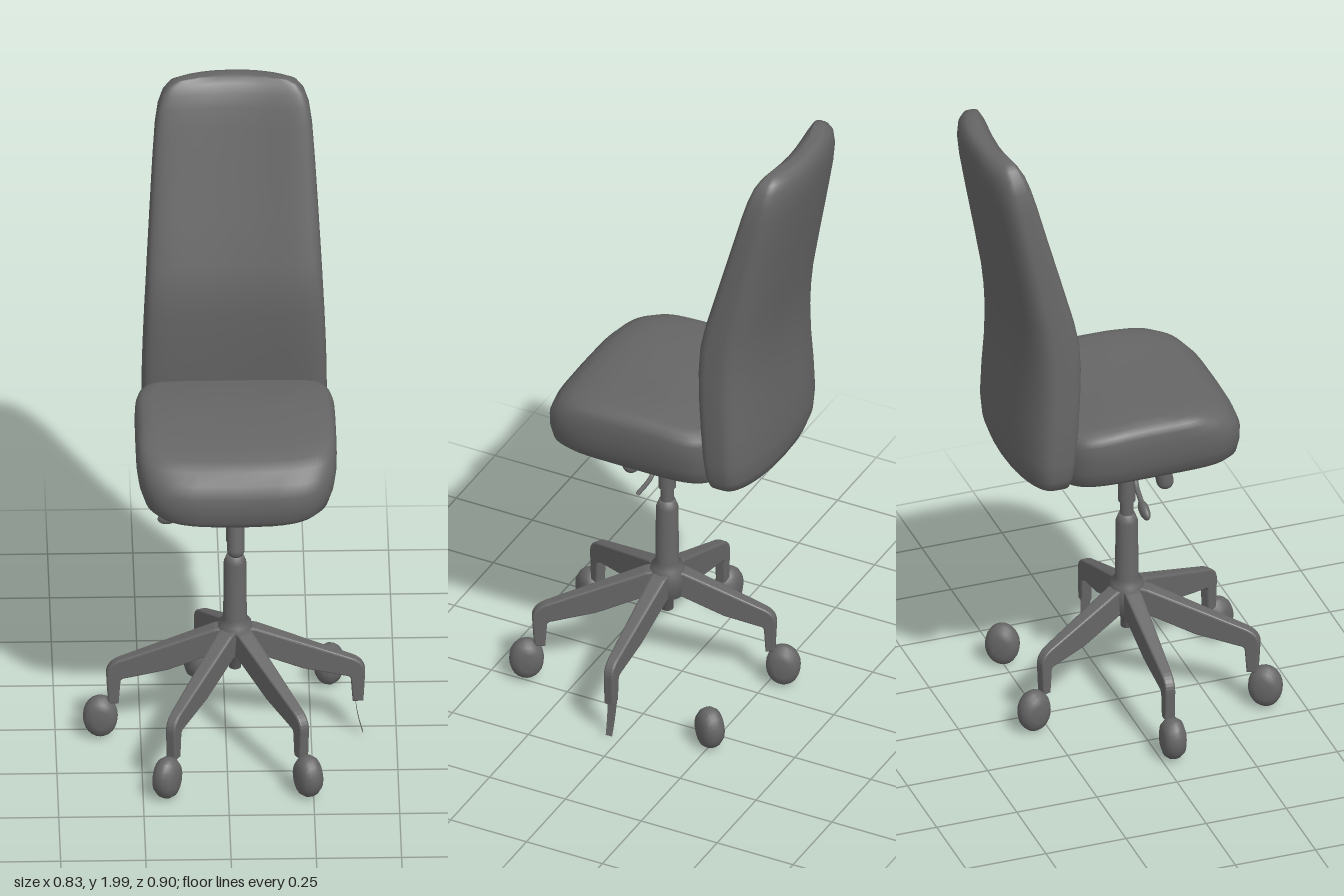
import * as THREE from 'three';

const CX = 0.027, CZ = 0.035; // axis of the column

// Stacks superellipse rings [y, halfWidth, zFront, zBack] from bottom to top, closed and smooth.
function loft(sections, power, cx, bend) {
  const N = 64, pos = [], idx = [];
  const put = (x, y, z, hw) => {
    const [bx, by, bz] = bend(x, y, z, x / hw);
    pos.push(cx + bx, by, bz);
  };
  const pw = v => Math.sign(v) * Math.pow(Math.abs(v), 2 / power);
  for (const [y, hw, zf, zb] of sections) {
    for (let i = 0; i < N; i++) {
      const t = (i / N) * Math.PI * 2;
      put(hw * pw(Math.cos(t)), y, (zf + zb) / 2 + ((zf - zb) / 2) * pw(Math.sin(t)), hw);
    }
  }
  for (let s = 0; s < sections.length - 1; s++) {
    for (let i = 0; i < N; i++) {
      const a = s * N + i, b = s * N + (i + 1) % N;
      idx.push(a, a + N, b, b, a + N, b + N);
    }
  }
  const last = sections.length - 1;
  for (const s of [0, last]) {
    const [y, hw, zf, zb] = sections[s];
    const c = pos.length / 3;
    put(0, y, (zf + zb) / 2, hw);
    for (let i = 0; i < N; i++) {
      const a = s * N + i, b = s * N + (i + 1) % N;
      if (s === 0) idx.push(c, a, b); else idx.push(c, b, a);
    }
  }
  const g = new THREE.BufferGeometry();
  g.setAttribute('position', new THREE.Float32BufferAttribute(pos, 3));
  g.setIndex(idx);
  g.computeVertexNormals();
  return g;
}

const tube = (pts, r) => new THREE.TubeGeometry(
  new THREE.CatmullRomCurve3(pts.map(p => new THREE.Vector3(...p))), 24, r, 10);

// Leg side profile extruded across its width, tapering outwards
function legGeometry() {
  const s = new THREE.Shape();
  s.moveTo(0, 0.385);
  s.lineTo(0.06, 0.375);
  s.lineTo(0.34, 0.265);
  s.quadraticCurveTo(0.373, 0.25, 0.372, 0.22);
  s.lineTo(0.367, 0.13);
  s.lineTo(0.347, 0.13);
  s.lineTo(0.342, 0.2);
  s.quadraticCurveTo(0.34, 0.215, 0.32, 0.217);
  s.lineTo(0.2, 0.245);
  s.lineTo(0.05, 0.305);
  s.lineTo(0, 0.305);
  const g = new THREE.ExtrudeGeometry(s, {
    depth: 0.024, bevelEnabled: true, bevelSize: 0.006, bevelThickness: 0.008, bevelSegments: 3, curveSegments: 6,
  });
  g.translate(0, 0, -0.012);
  const p = g.attributes.position;
  for (let i = 0; i < p.count; i++) p.setZ(i, p.getZ(i) * (1.35 - 1.5 * p.getX(i)));
  g.computeVertexNormals();
  return g;
}

// Rounded wheel turning about z
function wheelGeometry() {
  const pts = [[0, -0.036], [0.03, -0.035], [0.052, -0.028], [0.064, -0.013], [0.066, 0],
    [0.064, 0.013], [0.052, 0.028], [0.03, 0.035], [0, 0.036]].map(p => new THREE.Vector2(...p));
  const g = new THREE.LatheGeometry(pts, 24);
  g.rotateX(Math.PI / 2);
  g.scale(0.78, 1, 1);
  return g;
}

export function createModel() {
  const model = new THREE.Group();
  const grey = new THREE.MeshStandardMaterial({ color: 0x666666 });
  grey.name = 'charcoal grey';
  const thinGrey = grey;
  thinGrey.side = THREE.DoubleSide;
  const add = (name, geo, x = 0, y = 0, z = 0, parent = model) => {
    const m = new THREE.Mesh(geo, grey);
    m.name = name;
    m.position.set(x, y, z);
    parent.add(m);
    return m;
  };

  // Seat cushion: dished top, softly rolled front edge
  add('seat', loft([
    [0.868, 0.15, 0.22, -0.16], [0.87, 0.22, 0.285, -0.21], [0.88, 0.255, 0.312, -0.235],
    [0.9, 0.275, 0.325, -0.245], [0.94, 0.288, 0.331, -0.25], [0.98, 0.294, 0.33, -0.25],
    [1.02, 0.295, 0.315, -0.25], [1.05, 0.293, 0.287, -0.25], [1.068, 0.286, 0.25, -0.245],
    [1.08, 0.272, 0.2, -0.235], [1.086, 0.245, 0.14, -0.215], [1.088, 0.16, 0.06, -0.14],
  ], 5, 0.029, (x, y, z, u) => {
    const back = Math.max(0, -z - 0.05);
    const lift = y > 1 ? 0.006 * u * u - back * 0.1 : 0.012 * u * u;
    return [x, y + lift, z - 0.012 * u * u * (z > 0 ? 1 : 0)];
  }));

  // Tall backrest, leaning backwards above the lumbar bulge
  add('backrest', loft([
    [0.88, 0.17, -0.262, -0.315], [0.885, 0.215, -0.248, -0.335], [0.905, 0.25, -0.235, -0.355],
    [0.94, 0.266, -0.226, -0.367], [1.0, 0.272, -0.217, -0.372], [1.1, 0.271, -0.208, -0.368],
    [1.2, 0.268, -0.201, -0.361], [1.3, 0.264, -0.197, -0.36], [1.38, 0.26, -0.2, -0.365],
    [1.46, 0.256, -0.217, -0.374], [1.6, 0.248, -0.256, -0.399], [1.75, 0.239, -0.298, -0.427],
    [1.86, 0.231, -0.328, -0.447], [1.92, 0.222, -0.346, -0.455], [1.96, 0.208, -0.362, -0.455],
    [1.985, 0.188, -0.379, -0.449], [1.997, 0.162, -0.394, -0.438], [2.0, 0.13, -0.405, -0.426],
  ], 3.8, 0.031, (x, y, z, u) => [x, y, z + 0.03 * u * u]));

  // Mechanism under the seat
  add('seatPlate', new THREE.CylinderGeometry(0.13, 0.07, 0.035, 32), CX, 0.858, CZ + 0.02);
  const handle = add('tiltHandle', new THREE.CapsuleGeometry(0.026, 0.11, 6, 16), CX, 0.765, 0.143);
  handle.rotation.x = -0.2;
  add('handleArm', tube([[CX, 0.85, 0.04], [CX, 0.832, 0.08], [CX, 0.82, 0.125]], 0.014));
  add('rightLever', tube([[-0.055, 0.86, 0.03], [-0.058, 0.81, 0.03], [-0.085, 0.78, 0.025], [-0.14, 0.76, 0.02]], 0.008));
  const paddle = add('rightLeverPaddle', new THREE.SphereGeometry(1, 20, 12), -0.163, 0.745, 0.02);
  paddle.scale.set(0.038, 0.022, 0.015);
  paddle.rotation.z = 0.3;
  add('leftLever', tube([[0.11, 0.86, 0.03], [0.112, 0.8, 0.03], [0.14, 0.772, 0.03], [0.225, 0.765, 0.03]], 0.007));

  // Gas column and hub
  add('columnHousing', new THREE.CylinderGeometry(0.026, 0.026, 0.18, 24), CX, 0.76, CZ);
  add('columnRod', new THREE.CylinderGeometry(0.02, 0.02, 0.14, 24), CX, 0.65, CZ);
  const sleeve = [[0, 0.24], [0.018, 0.24], [0.02, 0.29], [0.052, 0.3], [0.055, 0.36], [0.048, 0.395],
    [0.035, 0.41], [0.033, 0.6], [0.024, 0.625], [0, 0.625]];
  add('columnSleeve', new THREE.LatheGeometry(sleeve.map(p => new THREE.Vector2(...p)), 28), CX, 0, CZ);

  // Legs with casters; the left one has lost its wheel
  const legGeo = legGeometry(), wheelGeo = wheelGeometry();
  const legs = [['left', 0, 1.01], ['frontLeft', 60, 1.05], ['frontRight', 120, 1.05], ['right', 180, 1], ['back', 252, 0.86]];
  for (const [name, deg, reach] of legs) {
    const leg = new THREE.Group();
    leg.name = name + 'Leg';
    leg.position.set(CX, 0, CZ);
    leg.rotation.y = -THREE.MathUtils.degToRad(deg);
    model.add(leg);
    add('legArm', legGeo, 0, 0, 0, leg).scale.x = reach;
    if (name !== 'left') add('wheel', wheelGeo, 0.357 * reach + 0.038, 0.077, 0, leg);
  }
  const loose = add('looseWheel', wheelGeo, 0.31, 0.075, -0.25);
  loose.rotation.y = 1.0;

  // Thin bent strip left on the wheel-less caster
  const strip = new THREE.PlaneGeometry(0.035, 1, 1, 12);
  strip.rotateY(Math.PI / 2);
  const sp = strip.attributes.position;
  for (let i = 0; i < sp.count; i++) {
    const t = 0.5 - sp.getY(i);
    sp.setXYZ(i, 0.378 + 0.024 * t * t, 0.17 - 0.158 * t, sp.getZ(i) * (1 - 0.4 * t) + CZ);
  }
  strip.computeVertexNormals();
  add('casterStrip', strip);

  return model;
}
